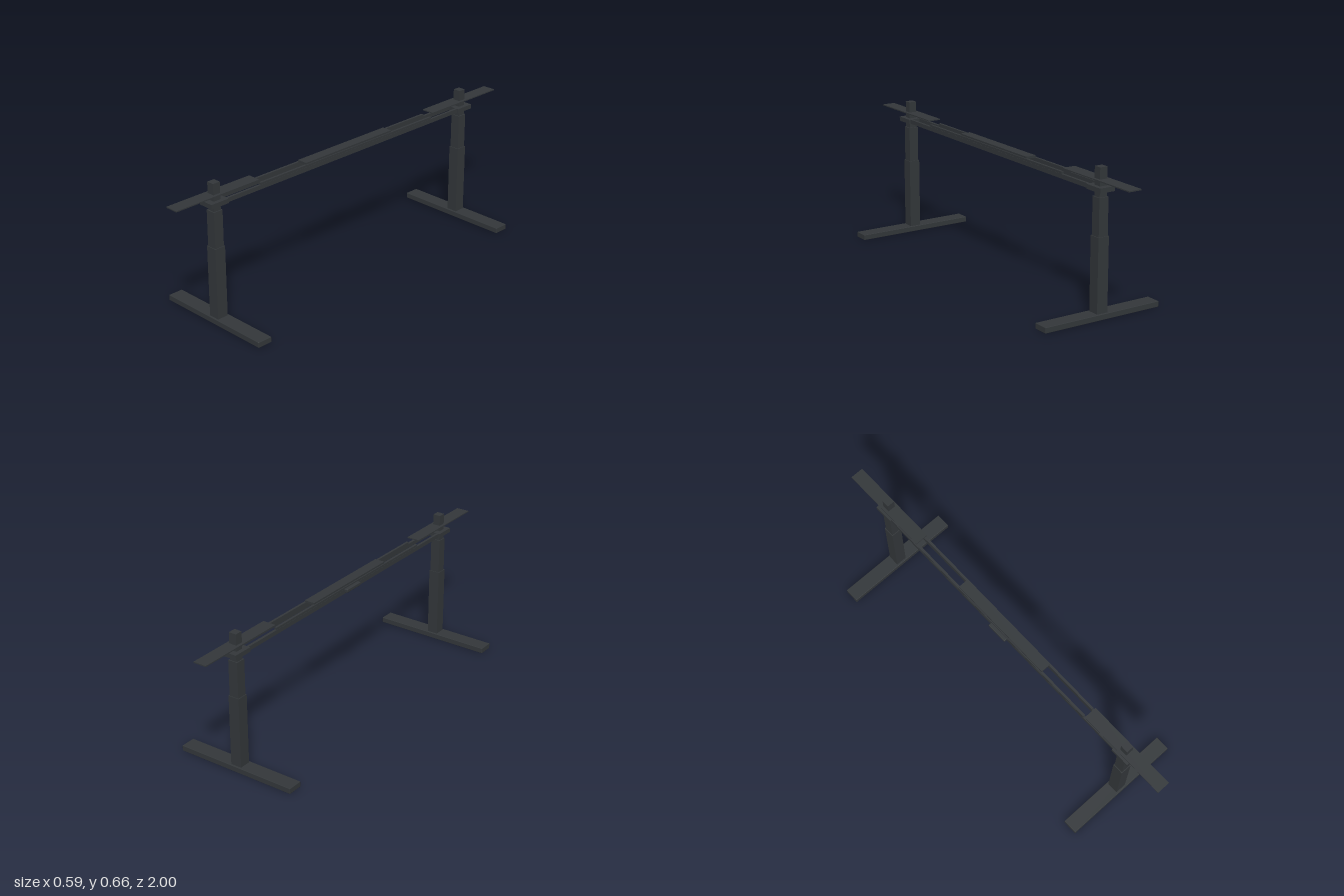
import * as THREE from 'three';
import { RoundedBoxGeometry } from 'three/addons/geometries/RoundedBoxGeometry.js';

const steel = new THREE.MeshStandardMaterial({ color: 0x33373a });

// Box given by its lower and upper limits on each axis; a radius softens the edges
function block(parent, name, [x0, x1], [y0, y1], [z0, z1], radius = 0) {
  const size = [x1 - x0, y1 - y0, z1 - z0];
  const geometry = radius
    ? new RoundedBoxGeometry(...size, 2, radius)
    : new THREE.BoxGeometry(...size);
  const mesh = new THREE.Mesh(geometry, steel);
  mesh.name = name;
  mesh.position.set((x0 + x1) / 2, (y0 + y1) / 2, (z0 + z1) / 2);
  parent.add(mesh);
  return mesh;
}

const span = (half, centre = 0) => [centre - half, centre + half];

// Telescopic lifting column with foot, bracket and top support plate
function createLeg(side) {
  const leg = new THREE.Group();
  leg.name = side > 0 ? 'frontLeg' : 'backLeg';
  const z = 0.774 * side;

  block(leg, 'foot', span(0.297), [0, 0.026], span(0.036, z), 0.002);
  block(leg, 'lowerColumn', span(0.027), [0.026, 0.361], span(0.027, z));
  block(leg, 'middleColumn', span(0.0235), [0.361, 0.53], span(0.0235, z));
  block(leg, 'upperColumn', span(0.0185), [0.53, 0.658], span(0.0185, z));
  block(leg, 'columnBracket', span(0.038), [0.557, 0.578], span(0.047, z));
  block(leg, 'supportPlate', span(0.032), [0.602, 0.607], span(0.225, 0.775 * side));
  return leg;
}

export function createModel() {
  const model = new THREE.Group();
  model.name = 'deskFrame';

  for (const side of [1, -1]) model.add(createLeg(side));

  // Paired long rails with shorter sleeves stepped on top
  const beam = new THREE.Group();
  beam.name = 'crossBeam';
  for (const side of [1, -1]) {
    block(beam, 'rail', span(0.006, 0.025 * side), [0.558, 0.578], span(0.74));
    block(beam, 'railSleeve', span(0.0055, 0.0245 * side), [0.578, 0.588], span(0.54));
  }

  // Central cover bridging the rails
  block(beam, 'centreCover', span(0.025), [0.586, 0.596], span(0.27));
  model.add(beam);

  // Small control box on the side of the beam
  block(model, 'controlBox', [-0.047, -0.028], [0.566, 0.582], span(0.052), 0.003);

  return model;
}
